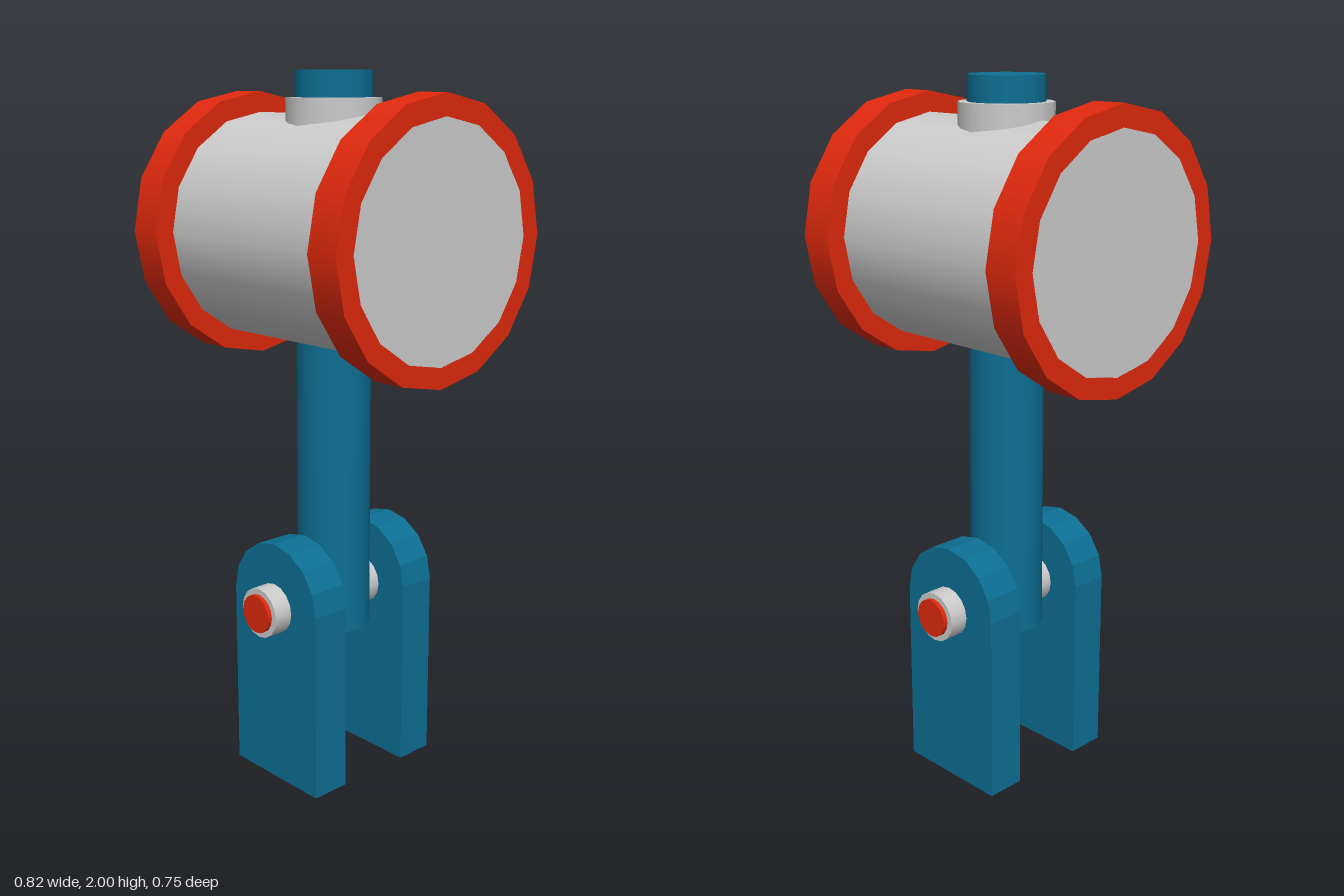
import * as THREE from 'three';

const SIDES = 16;
const DRUM_Y = 1.57;
const PIN_Y = 0.53;

const grey = new THREE.MeshStandardMaterial({ color: 0xcccccc });
const red = new THREE.MeshStandardMaterial({ color: 0xe0290d });
const blue = new THREE.MeshStandardMaterial({ color: 0x0d6f94 });
const blueOpen = new THREE.MeshStandardMaterial({ color: 0x0d6f94, side: THREE.DoubleSide });

function addMesh(parent, name, geometry, material) {
  const mesh = new THREE.Mesh(geometry, material);
  mesh.name = name;
  parent.add(mesh);
  return mesh;
}

// Upright cylinder between two heights
function post(radius, y0, y1) {
  return new THREE.CylinderGeometry(radius, radius, y1 - y0, SIDES).translate(0, (y0 + y1) / 2, 0);
}

// Flat-ended ring with its axis along x; each side of the section is its own lathe strip
function addRing(parent, name, inner, outer, x0, x1) {
  const ring = new THREE.Group();
  ring.name = name;
  const section = [[inner, x0], [outer, x0], [outer, x1], [inner, x1]];
  for (let i = 0; i < 3; i++) {
    const points = [section[i], section[i + 1]].map(([r, h]) => new THREE.Vector2(r, h));
    addMesh(ring, name + 'Face', new THREE.LatheGeometry(points, SIDES).rotateZ(-Math.PI / 2), red);
  }
  parent.add(ring);
  return ring;
}

// Round-topped plate, left open along its bottom edge
function plateGeometry(width, straight, depth) {
  const r = width / 2;
  const shape = new THREE.Shape();
  shape.moveTo(-r, 0);
  shape.lineTo(r, 0);
  for (let i = 0; i <= 8; i++) {
    const a = (i / 8) * Math.PI;
    shape.lineTo(r * Math.cos(a), straight + r * Math.sin(a));
  }
  const solid = new THREE.ExtrudeGeometry(shape, { depth, bevelEnabled: false }).toNonIndexed?.() ;
  const pos = solid.attributes.position;
  const kept = [];
  for (let i = 0; i < pos.count; i += 3) {
    if (Math.max(pos.getY(i), pos.getY(i + 1), pos.getY(i + 2)) < 1e-5) continue;
    for (let k = i; k < i + 3; k++) kept.push(pos.getX(k), pos.getY(k), pos.getZ(k));
  }
  const geometry = new THREE.BufferGeometry();
  geometry.setAttribute('position', new THREE.Float32BufferAttribute(kept, 3));
  geometry.computeVertexNormals();
  return geometry.translate(0, 0, -depth / 2);
}

export function createModel() {
  const model = new THREE.Group();
  model.name = 'mallet';

  // Handle running through the head
  addMesh(model, 'handle', post(0.105, 0.43, 2), blue);
  addMesh(model, 'handleCollar', post(0.13, 1.8, 1.93), grey);

  // Head: drum with a band at each end
  const head = new THREE.Group();
  head.name = 'head';
  head.position.y = DRUM_Y;
  model.add(head);
  addMesh(head, 'drum', new THREE.CylinderGeometry(0.317, 0.317, 0.816, SIDES).rotateZ(Math.PI / 2), grey);
  for (const s of [-1, 1]) {
    const ring = addRing(head, s > 0 ? 'leftBand' : 'rightBand', 0.316, 0.375, -0.05, 0.05);
    ring.position.x = s * 0.358;
  }

  // Fork plates either side of the handle
  for (const s of [-1, 1]) {
    const plate = addMesh(model, s > 0 ? 'frontPlate' : 'backPlate', plateGeometry(0.344, 0.548, 0.115), blueOpen);
    plate.position.z = s * 0.172;
  }

  // Hinge pin: grey sleeve with a red core showing at both ends
  for (const [name, radius, length, material] of [
    ['pinSleeve', 0.072, 0.572, grey],
    ['pinCore', 0.055, 0.598, red],
  ]) {
    const geometry = new THREE.CylinderGeometry(radius, radius, length, SIDES).rotateX(Math.PI / 2);
    addMesh(model, name, geometry, material).position.y = PIN_Y;
  }

  return model;
}
